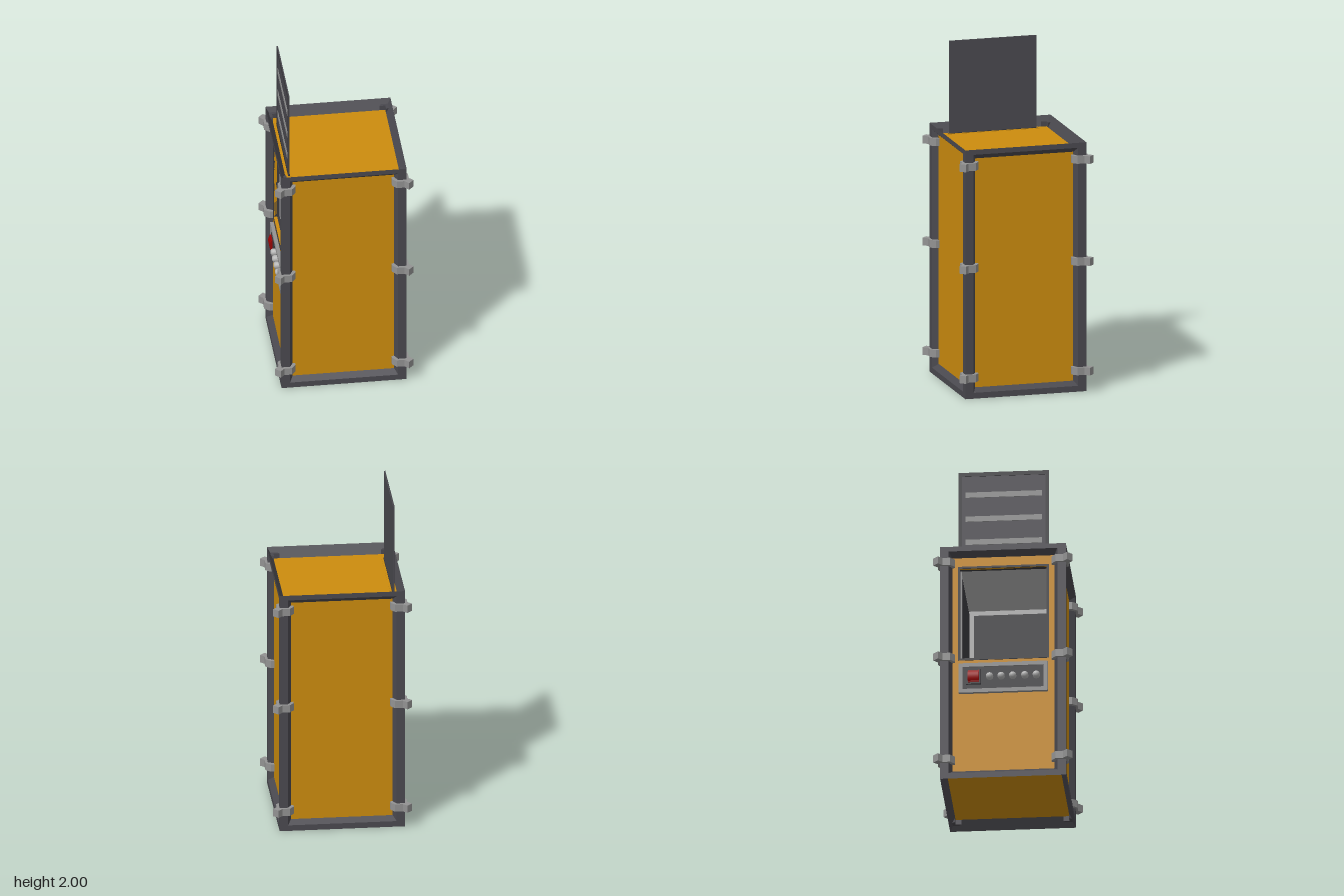
import * as THREE from 'three';

const mat = (color, extra = {}) => new THREE.MeshStandardMaterial({ color, ...extra });

export function createModel() {
  const model = new THREE.Group();
  model.name = 'cabinet';
  const orange = mat(0xcc8c0e), dark = mat(0x4a494f, { flatShading: true }), darker = mat(0x3a393e);
  const grey = mat(0x929292, { flatShading: true }), light = mat(0xb4b4b4), red = mat(0x9c0505), black = mat(0x29292c);

  const add = (name, geometry, material, parent = model) => {
    const mesh = new THREE.Mesh(geometry, material);
    mesh.name = name;
    parent.add(mesh);
    return mesh;
  };
  // Box given by its extents on each axis
  const box = (name, [x0, x1], [y0, y1], [z0, z1], material, parent) => {
    const g = new THREE.BoxGeometry(x1 - x0, y1 - y0, z1 - z0);
    g.translate((x0 + x1) / 2, (y0 + y1) / 2, (z0 + z1) / 2);
    return add(name, g, material, parent);
  };
  // Upright prism from an (x, z) outline
  const prism = (points, y0, y1) => {
    const shape = new THREE.Shape(points.map(([x, z]) => new THREE.Vector2(x, -z)));
    const g = new THREE.ExtrudeGeometry(shape, { depth: y1 - y0, bevelEnabled: false });
    return g.rotateX(-Math.PI / 2).translate(0, y0, 0);
  };
  const rect = (w, y0, y1) => [[-w, y0], [w, y0], [w, y1], [-w, y1]].map(p => new THREE.Vector2(...p));
  // Plate facing -x with a rectangular hole: outer and inner are [halfWidth, y0, y1]
  const holedPlate = (outer, inner, x0, x1) => {
    const shape = new THREE.Shape(rect(...outer));
    shape.holes.push(new THREE.Path(rect(...inner)));
    const g = new THREE.ExtrudeGeometry(shape, { depth: x1 - x0, bevelEnabled: false });
    return g.rotateY(Math.PI / 2).translate(x0, 0, 0);
  };

  // Body panels
  const B = 0.335, T = 0.02, H = [0.06, 1.44];
  box('frontPanel', [-B, B], H, [B - T, B], orange);
  box('backPanel', [-B, B], H, [-B, T - B], orange);
  box('leftPanel', [B - T, B], H, [-B, B], orange);
  box('topPanel', [-B, B], [H[1] - T, H[1]], [-B, B], orange);
  box('bottomPanel', [-B, B], [H[0], H[0] + T], [-B, B], orange);
  add('doorwayPanel', holedPlate([B, ...H], [0.255, 0.79, 1.37], -B, T - B), orange);

  // Mitred top and bottom frames with triangular section
  const ring = (points) => new THREE.LatheGeometry(
    points.map(([r, y]) => new THREE.Vector2(r * Math.SQRT2, y)), 4, Math.PI / 4);
  add('topFrame', ring([[B, 1.44], [0.37, 1.47], [0.37, 1.5], [B, 1.44]]), dark);
  add('bottomFrame', ring([[B, 0.06], [0.37, 0], [0.37, 0.035], [B, 0.06]]), dark);

  // Corner posts and their clips
  const post = prism([[0.37, 0.37], [0.32, 0.37], [0.3, B], [B, B], [B, 0.3], [0.37, 0.32]], 0.03, 1.47);
  const clipOutline = [[0.41, 0.38], [0.38, 0.41], [0.355, 0.385], [0.31, 0.385], [0.285, 0.355],
    [0.285, 0.335], [0.335, 0.285], [0.355, 0.285], [0.385, 0.31], [0.385, 0.355]];
  const clip = prism(clipOutline, -0.023, 0.023);
  for (let i = 0; i < 4; i++) {
    const corner = new THREE.Group();
    corner.name = 'corner';
    corner.rotation.y = i * Math.PI / 2;
    add('cornerPost', post, dark, corner);
    for (const y of [0.125, 0.785, 1.4]) add('cornerClip', clip, grey, corner).position.y = y;
    model.add(corner);
  }

  // Slot surround and raised sliding door
  box('slotSurround', [-0.33, -0.295], [1.435, 1.442], [-0.28, 0.28], orange);
  box('slot', [-0.319, -0.307], [1.435, 1.4435], [-0.272, 0.272], black);
  const door = new THREE.Group();
  door.name = 'slidingDoor';
  model.add(door);
  box('doorSheet', [-0.315, -0.309], [1.41, 2], [-0.267, 0.267], dark, door);
  add('doorRim', holedPlate([0.267, 1.41, 2], [0.245, 1.43, 1.975], -0.318, -0.315), darker, door);
  for (const y of [1.55, 1.7, 1.855]) {
    box('doorRib', [-0.318, -0.314], [y - 0.017, y + 0.017], [-0.225, 0.225], grey, door);
  }

  // Doorway trim and inner chamber
  add('doorwayTrim', holedPlate([0.268, 0.777, 1.383], [0.255, 0.79, 1.37], -0.339, -0.3), darker);
  const C = [-0.3, 0.27], CY = [0.79, 1.37];
  box('chamberFloor', C, [0.775, 0.79], [-0.265, 0.265], light);
  box('chamberCeiling', C, [1.37, 1.385], [-0.265, 0.265], light);
  box('chamberBack', [0.26, 0.275], CY, [-0.265, 0.265], light);
  box('chamberBackLining', [0.255, 0.261], [0.82, 1.34], [-0.22, 0.22], darker);
  for (const s of [-1, 1]) {
    const span = (a, b) => [Math.min(s * a, s * b), Math.max(s * a, s * b)];
    box('chamberWall', C, CY, span(0.25, 0.265), light);
    box('chamberWallLining', [-0.255, 0.23], [0.8, 1.34], span(0.246, 0.251), darker);
  }

  // Control panel with switch and knobs
  box('controlPlate', [-0.345, -0.33], [0.565, 0.745], [-0.26, 0.26], darker);
  add('controlRim', holedPlate([0.262, 0.56, 0.75], [0.238, 0.584, 0.726], -0.356, -0.334), grey);
  box('switchBase', [-0.357, -0.344], [0.615, 0.71], [-0.218, -0.132], darker);
  const rocker = new THREE.CylinderGeometry(0.06, 0.06, 0.065, 24, 1, false, -Math.PI / 2 - 0.62, 1.24);
  add('powerSwitch', rocker.rotateX(Math.PI / 2).translate(-0.315, 0.662, -0.175), red);
  box('switchCore', [-0.366, -0.34], [0.625, 0.7], [-0.207, -0.142], red);
  const knob = new THREE.LatheGeometry(
    [[0.021, 0], [0.021, 0.018], [0.017, 0.027], [0.009, 0.032], [0, 0.033]]
      .map(p => new THREE.Vector2(...p)), 20).rotateZ(Math.PI / 2);
  for (const z of [-0.08, -0.012, 0.056, 0.127, 0.195]) {
    add('knob', knob, light).position.set(-0.345, 0.662, z);
  }
  return model;
}
